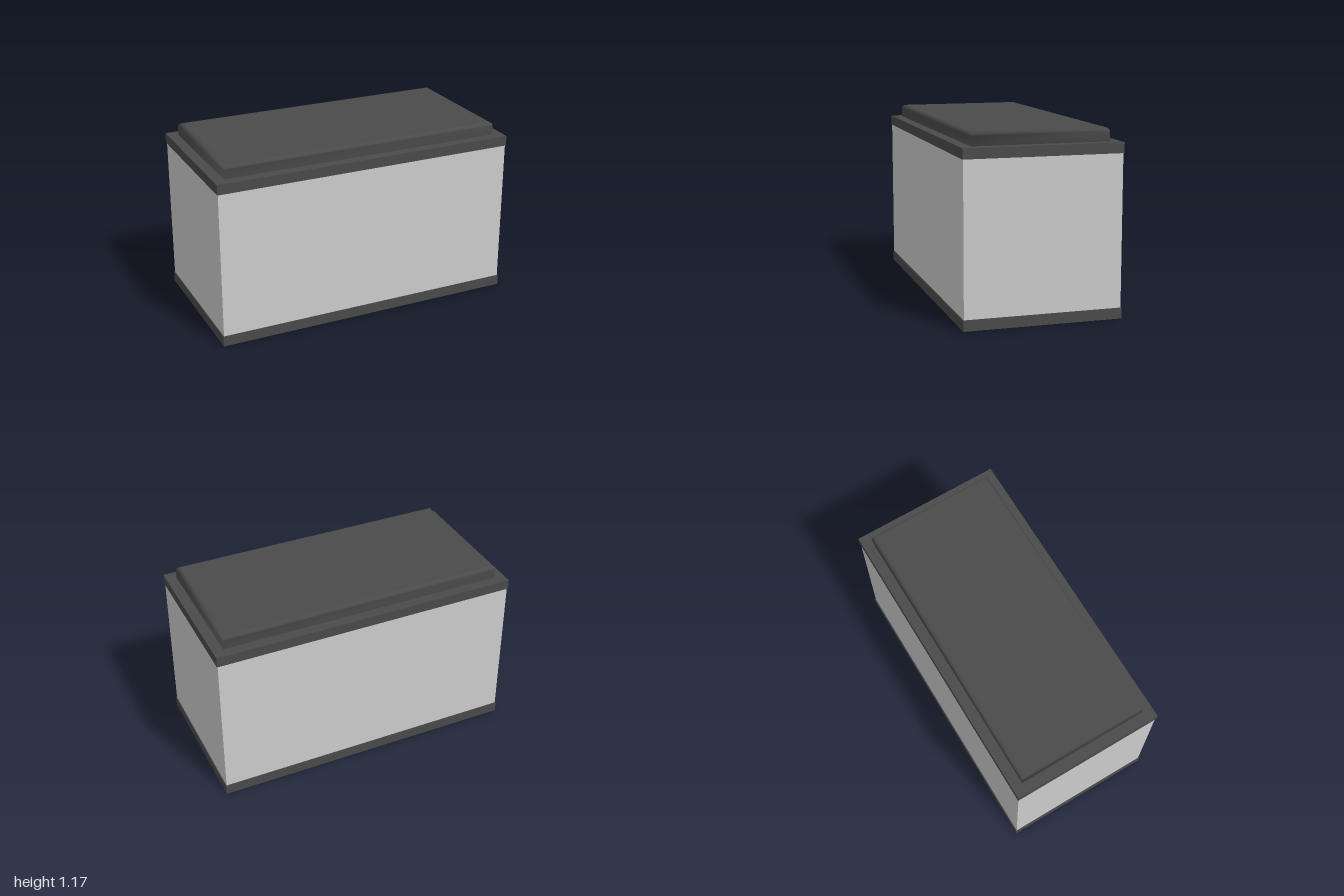
import * as THREE from 'three';

const dark = new THREE.MeshStandardMaterial({ color: 0x4a4a4a });
const grey = new THREE.MeshStandardMaterial({ color: 0xcccccc });

// Box spanning y0..y1, centred on x and z
function slab(name, w, d, y0, y1, material) {
  const mesh = new THREE.Mesh(new THREE.BoxGeometry(w, y1 - y0, d), material);
  mesh.position.y = (y0 + y1) / 2;
  mesh.name = name;
  return mesh;
}

// Rectangular cover with mitred corners and a rounded upper edge, from stacked rings
function roundedCover(halfX, halfZ, y0, y1, radius, steps) {
  const rings = [[0, y0]];
  for (let i = 0; i <= steps; i++) {
    const a = (i / steps) * Math.PI / 2;
    rings.push([radius * (1 - Math.cos(a)), y1 - radius * (1 - Math.sin(a))]);
  }
  const positions = [], index = [];
  for (const [inset, y] of rings) {
    const x = halfX - inset, z = halfZ - inset;
    positions.push(x, y, z, x, y, -z, -x, y, -z, -x, y, z);
  }
  for (let r = 0; r < rings.length - 1; r++) {
    for (let i = 0; i < 4; i++) {
      const a = r * 4 + i, b = r * 4 + (i + 1) % 4;
      index.push(a, b, b + 4, a, b + 4, a + 4);
    }
  }
  // Flat top
  const t = (rings.length - 1) * 4;
  index.push(t, t + 1, t + 2, t, t + 2, t + 3);

  const geometry = new THREE.BufferGeometry();
  geometry.setAttribute('position', new THREE.Float32BufferAttribute(positions, 3));
  geometry.setIndex(index);
  geometry.computeVertexNormals();
  return geometry;
}

export function createModel() {
  const model = new THREE.Group();
  model.name = 'aquarium';

  // Tank between the bottom and top frames
  model.add(slab('bottomFrame', 2, 1, 0, 0.068, dark));
  model.add(slab('glassTank', 1.99, 0.99, 0.06, 1.03, grey));
  model.add(slab('topFrame', 2, 1, 1.018, 1.083, dark));

  // Raised lid
  const lid = new THREE.Mesh(roundedCover(0.932, 0.432, 1.08, 1.167, 0.025, 6), dark);
  lid.name = 'lid';
  model.add(lid);

  return model;
}
